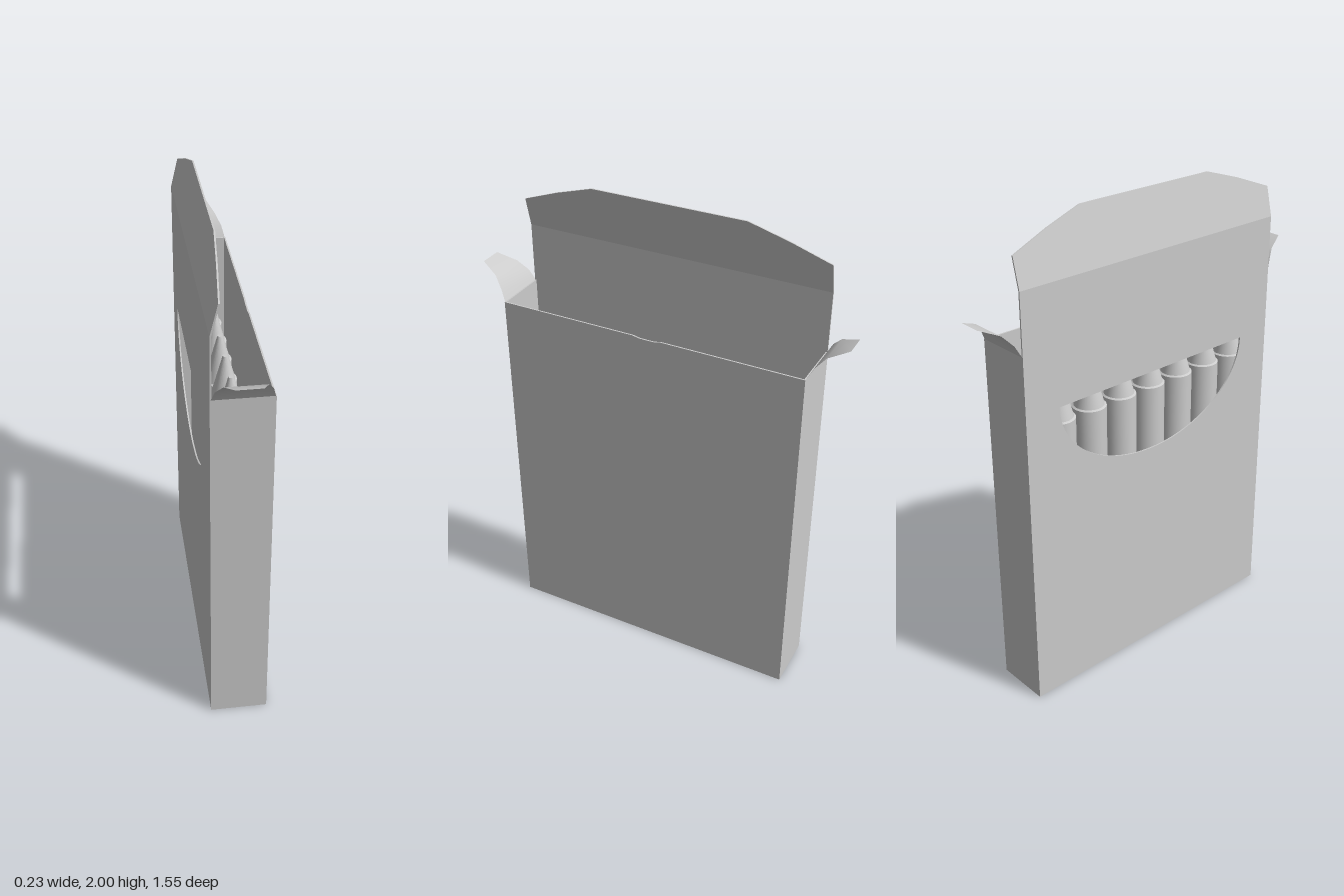
import * as THREE from 'three';
import { toCreasedNormals } from 'three/addons/utils/BufferGeometryUtils.js';

const T = 0.006;                 // card thickness
const X0 = -0.118, X1 = 0.112;   // outer faces of the two broad walls
const HZ = 0.64, H = 1.525;      // half width, wall height
const FOLD = 1.77, LEAN = 0.24;  // lid fold height and tuck slope
const MID = (X0 + X1) / 2;

const card = new THREE.MeshStandardMaterial({ color: 0xcccccc, side: THREE.DoubleSide });
const wax = new THREE.MeshStandardMaterial({ color: 0xcccccc });

function add(parent, name, geometry, material = card) {
  const mesh = new THREE.Mesh(geometry, material);
  mesh.name = name;
  parent.add(mesh);
  return mesh;
}

// Card panel drawn in (z, y), with its inner face at x + T and outer face at x
function panel(shape, x) {
  return new THREE.ExtrudeGeometry(shape, { depth: T, bevelEnabled: false, curveSegments: 32 })
    .rotateY(-Math.PI / 2)
    .translate(x + T, 0, 0);
}

function outline(points) {
  return new THREE.Shape(points.map(([z, y]) => new THREE.Vector2(z, y)));
}

// Curved dust flap: each row is [y, z, half width]
function dustFlapGeometry() {
  const rows = [[H, HZ, 0.112], [1.57, 0.662, 0.1], [1.612, 0.7, 0.077], [1.645, 0.775, 0.047]];
  const positions = [], index = [];
  rows.forEach(([y, z, w], i) => {
    positions.push(MID - w, y, z, MID + w, y, z);
    if (i) {
      const a = 2 * i - 2;
      index.push(a, a + 1, a + 3, a, a + 3, a + 2);
    }
  });
  const g = new THREE.BufferGeometry();
  g.setAttribute('position', new THREE.Float32BufferAttribute(positions, 3));
  g.setIndex(index);
  g.computeVertexNormals();
  return g;
}

export function createModel() {
  const model = new THREE.Group();
  model.name = 'crayonBox';

  // Broad wall with the half-moon window, running up into the lid
  const windowWall = outline([[-HZ, 0], [HZ, 0], [HZ, FOLD], [-HZ, FOLD]]);
  const hole = new THREE.Path();
  hole.absellipse(0, 1.28, 0.485, 0.34, Math.PI, 2 * Math.PI);
  hole.closePath();
  windowWall.holes.push(hole);
  add(model, 'windowWall', panel(windowWall, X0));

  // Opposite broad wall, top edge dipping slightly in the middle
  const plainWall = outline([
    [-HZ, 0], [HZ, 0], [HZ, H], [0.06, H], [0.03, H - 0.006], [-0.03, H - 0.006], [-0.06, H], [-HZ, H],
  ]);
  add(model, 'plainWall', panel(plainWall, X1 - T));

  // Tuck flap leaning over from the lid fold
  const tuck = panel(outline([
    [-HZ, FOLD], [HZ, FOLD], [HZ, 1.89], [0.48, 1.95], [0.32, 2], [-0.32, 2], [-0.48, 1.95], [-HZ, 1.89],
  ]), X0);
  const p = tuck.attributes.position;
  for (let i = 0; i < p.count; i++) p.setX(i, p.getX(i) + (p.getY(i) - FOLD) * LEAN);
  tuck.computeVertexNormals();
  add(model, 'tuckFlap', tuck);

  // Floor
  const inner = X1 - X0 - 2 * T;
  add(model, 'floor', new THREE.BoxGeometry(inner, T, 2 * HZ)).position.set(MID, T / 2, 0);

  // Narrow walls and their dust flaps
  const flap = dustFlapGeometry();
  for (const s of [1, -1]) {
    add(model, 'endWall', new THREE.BoxGeometry(inner, H, T))
      .position.set(MID, H / 2, s * (HZ - T / 2));
    add(model, 'dustFlap', flap).scale.z = s;
  }

  // Row of crayons: wrapped barrel, shoulder and blunt cone
  const profile = [[0, T], [0.07, T], [0.07, 1.16], [0.062, 1.165], [0.01, 1.36], [0, 1.36]]
    .map(([r, y]) => new THREE.Vector2(r, y));
  const crayon = toCreasedNormals(new THREE.LatheGeometry(profile, 32), 0.5);
  const crayons = new THREE.Group();
  crayons.name = 'crayons';
  for (let i = 0; i < 8; i++) {
    add(crayons, 'crayon', crayon, wax).position.set(0.013, 0, (i - 3.5) * 0.157);
  }
  model.add(crayons);

  return model;
}
